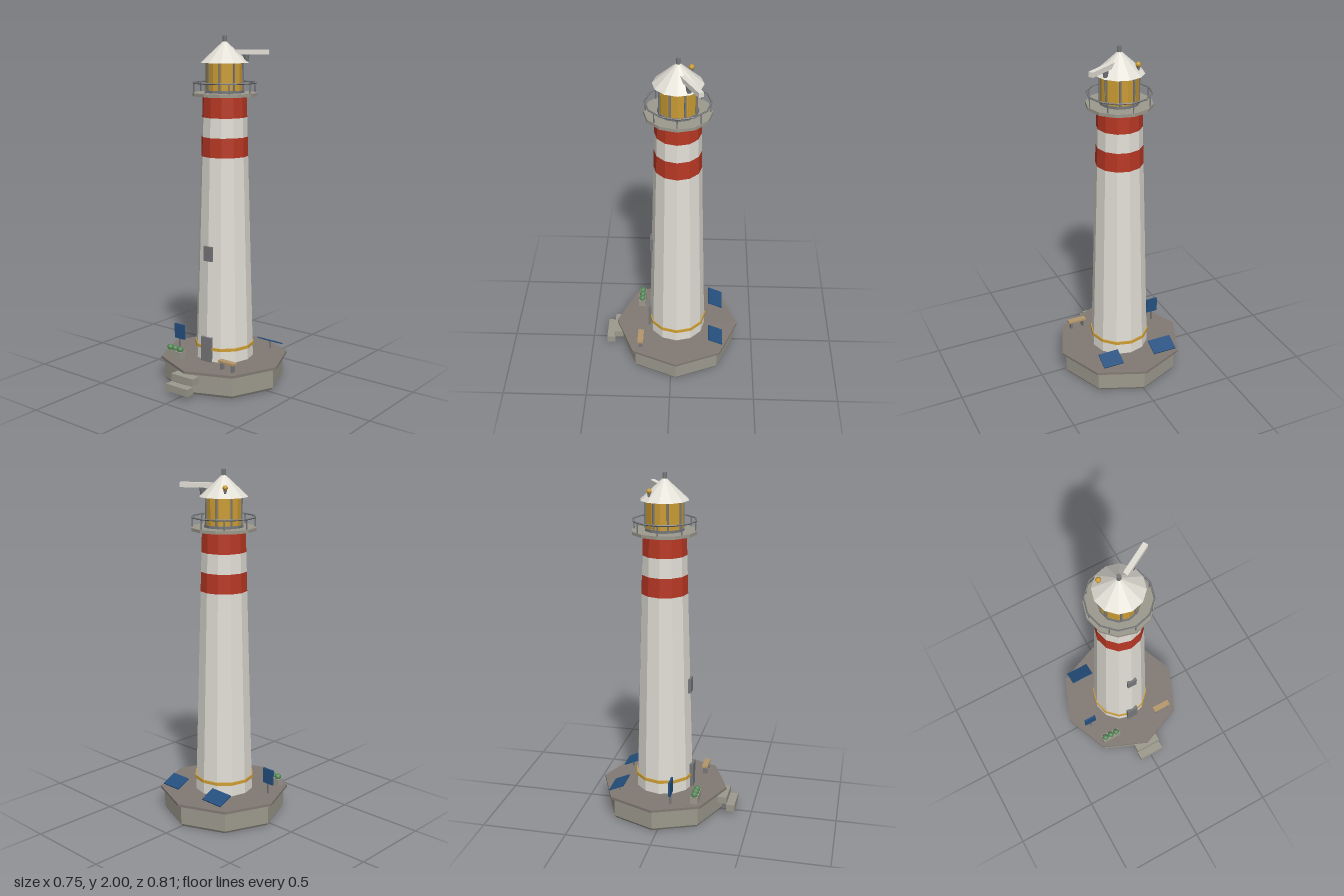
import * as THREE from 'three';

export function createModel() {
  const model = new THREE.Group();
  model.name = 'lighthouse';

  const mat = (name, color) => {
    const m = new THREE.MeshStandardMaterial({ color });
    m.name = name;
    return m;
  };
  const white = mat('whitePaint', 0xe2dfd6);
  const red = mat('redPaint', 0xb83824);
  const concrete = mat('concrete', 0x9c998d);
  const paving = mat('paving', 0x827a74);
  const steel = mat('steel', 0x77787a);
  const gold = mat('amber', 0xcb9c34);
  const blue = mat('solarBlue', 0x25507f);
  const wood = mat('wood', 0xb4976b);
  const green = mat('leaves', 0x558757);

  // Faceted copy of a geometry
  const flat = (geo) => {
    const g = geo.index ? geo.toNonIndexed() : geo;
    g.computeVertexNormals();
    return g;
  };
  const add = (parent, name, geo, material, x, y, z) => {
    const mesh = new THREE.Mesh(flat(geo), material);
    mesh.name = name;
    mesh.position.set(x, y, z);
    parent.add(mesh);
    return mesh;
  };
  const box = (parent, name, material, w, h, d, x, y, z) =>
    add(parent, name, new THREE.BoxGeometry(w, h, d), material, x, y, z);
  // Upright cylinder or frustum between two heights
  const drum = (parent, name, material, rBottom, rTop, y0, y1, sides, x = 0, z = 0) =>
    add(parent, name, new THREE.CylinderGeometry(rTop, rBottom, y1 - y0, sides),
      material, x, (y0 + y1) / 2, z);
  const group = (name, x = 0, y = 0, z = 0) => {
    const g = new THREE.Group();
    g.name = name;
    g.position.set(x, y, z);
    model.add(g);
    return g;
  };

  const CZ = -0.03; // tower axis
  const GROUND = 0.145;

  // Octagonal foundation with paved top
  const base = group('foundation', 0, 0, CZ);
  drum(base, 'foundationFoot', concrete, 0.342, 0.352, 0, 0.015, 8);
  drum(base, 'foundationBody', concrete, 0.352, 0.352, 0.015, 0.13, 8);
  drum(base, 'pavedSlab', paving, 0.375, 0.375, 0.13, GROUND, 8);

  // Entrance steps
  const steps = group('steps');
  box(steps, 'upperStep', concrete, 0.157, 0.042, 0.055, 0, 0.097, 0.333);
  box(steps, 'lowerStep', concrete, 0.157, 0.042, 0.05, 0, 0.05, 0.382);

  // Tapered tower in painted bands
  const tower = group('tower', 0, 0, CZ);
  const radius = (y) => 0.17 - 0.045 * (y - GROUND) / (1.67 - GROUND);
  const levels = [GROUND, 1.33, 1.44, 1.55, 1.67];
  for (let i = 0; i < 4; i++) {
    const [a, b] = [levels[i], levels[i + 1]];
    drum(tower, i % 2 ? 'redBand' : 'whiteBand', i % 2 ? red : white, radius(a), radius(b), a, b, 12);
  }
  drum(tower, 'goldRing', gold, 0.175, 0.174, 0.213, 0.23, 12);
  box(tower, 'door', steel, 0.07, 0.145, 0.03, 0, GROUND + 0.0725, 0.163);
  box(tower, 'window', steel, 0.058, 0.085, 0.02, 0, 0.782, 0.15);

  // Gallery deck and railing
  const gallery = group('gallery', 0, 0, CZ);
  drum(gallery, 'galleryDeck', concrete, 0.185, 0.185, 1.668, 1.686, 12);
  const rail = add(gallery, 'handrail', new THREE.TorusGeometry(0.178, 0.005, 5, 12), steel, 0, 1.742, 0);
  rail.rotation.x = Math.PI / 2;
  for (let i = 0; i < 8; i++) {
    const a = i * Math.PI / 4;
    drum(gallery, 'railPost', steel, 0.004, 0.004, 1.686, 1.742, 5, 0.174 * Math.sin(a), 0.174 * Math.cos(a));
  }

  // Lantern room with glazing bars
  const lantern = group('lanternRoom', 0, 0, CZ);
  drum(lantern, 'lanternSill', steel, 0.112, 0.112, 1.686, 1.7, 12);
  drum(lantern, 'lanternGlass', gold, 0.105, 0.105, 1.7, 1.85, 12);
  for (let i = 0; i < 8; i++) {
    const a = (i + 0.5) * Math.PI / 4;
    drum(lantern, 'glazingBar', steel, 0.006, 0.006, 1.7, 1.855, 6, 0.105 * Math.sin(a), 0.105 * Math.cos(a));
  }

  // Conical roof with vent
  drum(lantern, 'roof', white, 0.137, 0.012, 1.852, 1.967, 12);
  drum(lantern, 'roofVent', steel, 0.0125, 0.0125, 1.955, 2.0, 8);

  // Radar scanner
  const radar = group('radar');
  drum(radar, 'radarPedestal', steel, 0.012, 0.018, 1.86, 1.897, 8, 0.107, -0.088);
  const bar = box(radar, 'radarBar', white, 0.2, 0.028, 0.028, 0.13, 1.911, -0.101);
  bar.rotation.y = Math.PI / 6;

  // Small warning lamp on the roof
  const lamp = group('warningLamp', -0.077, 0, -0.098);
  drum(lamp, 'lampStem', steel, 0.006, 0.01, 1.87, 1.9, 6);
  add(lamp, 'lampGlobe', new THREE.IcosahedronGeometry(0.015, 1), gold, 0, 1.907, 0);

  // Tilted solar panels behind the tower
  for (const [x, w] of [[-0.171, 0.143], [0.162, 0.124]]) {
    const solar = group('solarPanel', x, 0, -0.267);
    drum(solar, 'panelPost', steel, 0.006, 0.006, GROUND, 0.192, 6);
    const panel = box(solar, 'panel', blue, w, 0.007, 0.094, 0, 0.194, 0);
    panel.rotation.x = -0.42;
  }

  // Notice board
  const sign = group('noticeBoard', -0.267, 0, 0.064);
  drum(sign, 'boardPost', steel, 0.006, 0.006, GROUND, 0.21, 6);
  box(sign, 'board', blue, 0.074, 0.09, 0.011, 0, 0.25, 0);

  // Planter with three shrubs
  const planter = group('planter', -0.19, 0, 0.196);
  box(planter, 'trough', concrete, 0.118, 0.042, 0.042, 0, GROUND + 0.021, 0);
  for (const x of [-0.038, 0, 0.038]) {
    add(planter, 'shrub', new THREE.IcosahedronGeometry(0.0195, 1), green, x, 0.196, 0);
  }

  // Bench
  const bench = group('bench', 0.19, 0, 0.187);
  box(bench, 'seat', wood, 0.11, 0.012, 0.035, 0, 0.193, 0);
  for (const x of [-0.038, 0.038]) {
    box(bench, 'benchLeg', steel, 0.012, 0.044, 0.026, x, GROUND + 0.021, 0);
  }

  return model;
}
